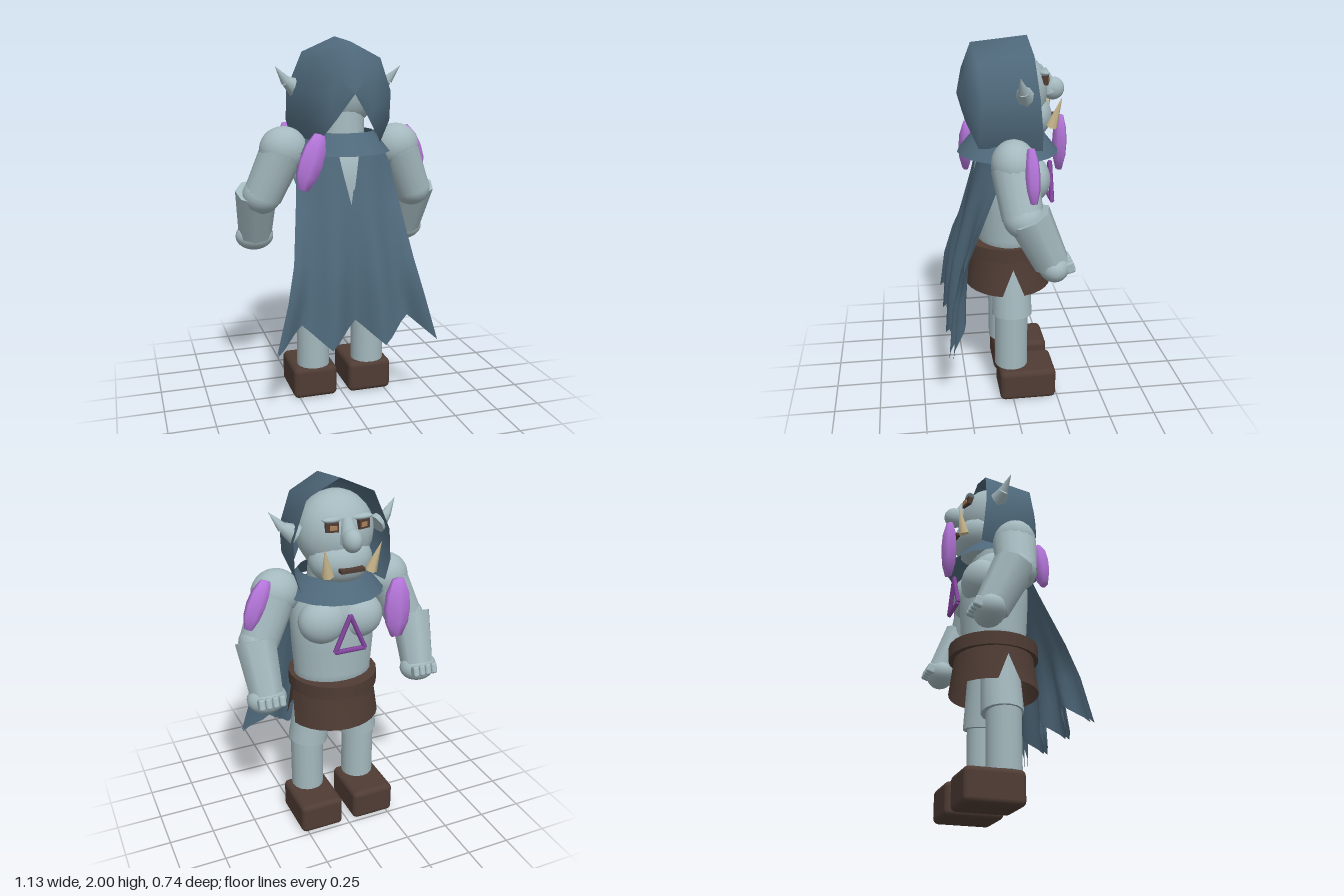
import * as THREE from 'three';
import { RoundedBoxGeometry } from 'three/addons/geometries/RoundedBoxGeometry.js';

const material = (name, color, side = THREE.FrontSide) => {
  const m = new THREE.MeshStandardMaterial({ color, side });
  m.name = name;
  return m;
};

export function createModel() {
  const skin = material('skin', 0xa4b9be);
  const cloth = material('cloth', 0x4f697b, THREE.DoubleSide);
  const leather = material('leather', 0x4f3c34, THREE.DoubleSide);
  const crystal = material('crystal', 0xb878de);
  const rune = material('amulet', 0x8546a0);
  const ivory = material('ivory', 0xd2bf94);
  const amber = material('amber', 0xa9805a);

  const root = new THREE.Group();
  root.name = 'hoodedFigure';
  const V = (p) => new THREE.Vector3(...p);

  const add = (name, geo, mat, p = [0, 0, 0], r = [0, 0, 0], s = [1, 1, 1]) => {
    const m = new THREE.Mesh(geo, mat);
    m.name = name;
    m.position.set(...p);
    m.rotation.set(...r);
    m.scale.set(...s);
    root.add(m);
    return m;
  };
  const ball = (name, p, s, r = [0, 0, 0]) =>
    add(name, new THREE.SphereGeometry(1, 20, 14), skin, p, r, s);
  // Tapered cylinder running from a to b
  const limb = (name, a, b, ra, rb, mat = skin, sides = 16) => {
    const d = V(b).sub(V(a));
    const m = add(name, new THREE.CylinderGeometry(rb, ra, d.length(), sides), mat);
    m.position.copy(V(a).add(V(b)).multiplyScalar(0.5));
    m.quaternion.setFromUnitVectors(new THREE.Vector3(0, 1, 0), d.normalize());
    return m;
  };
  // Smooth sheet through rows of points
  const sheet = (rows) => {
    const n = rows[0].length, index = [];
    for (let i = 0; i < rows.length - 1; i++)
      for (let j = 0; j < n - 1; j++) {
        const a = i * n + j, b = a + n;
        index.push(a, b, a + 1, a + 1, b, b + 1);
      }
    const g = new THREE.BufferGeometry();
    g.setAttribute('position', new THREE.Float32BufferAttribute(rows.flat(2), 3));
    g.setIndex(index);
    g.computeVertexNormals();
    return g;
  };

  // Torso and neck
  const torso = [[0, 0.8], [0.18, 0.82], [0.182, 0.95], [0.192, 1.1], [0.197, 1.25], [0.175, 1.38], [0.11, 1.46], [0, 1.47]]
    .map((p) => new THREE.Vector2(...p));
  add('torso', new THREE.LatheGeometry(torso, 24), skin, [0, 0, 0], [0, 0, 0], [1.2, 1, 0.95]);
  limb('neck', [0, 1.4, 0.01], [0, 1.65, -0.01], 0.13, 0.13);

  // Head and face
  ball('head', [0, 1.72, -0.03], [0.205, 0.21, 0.177]);
  ball('muzzle', [0, 1.59, -0.1], [0.17, 0.13, 0.133]);
  ball('nose', [0, 1.725, -0.24], [0.05, 0.06, 0.06]);
  limb('noseBridge', [0, 1.71, -0.225], [0, 1.82, -0.175], 0.052, 0.03);
  add('mouth', new THREE.BoxGeometry(0.13, 0.018, 0.04), leather, [0, 1.575, -0.242]);

  // Belt and slit skirt
  add('belt', new THREE.CylinderGeometry(0.245, 0.245, 0.075, 24), leather, [0, 0.882, 0]);
  for (const side of [0, Math.PI]) {
    const rows = [[0.86, 0.214, 0], [0.8, 0.22, 0], [0.65, 0.24, 0.25]].map(([y, r, gap]) =>
      Array.from({ length: 13 }, (_, j) => {
        const t = side + gap + (Math.PI - 2 * gap) * j / 12;
        return [1.08 * r * Math.cos(t), y, r * Math.sin(t)];
      }));
    add(side ? 'skirtFront' : 'skirtBack', sheet(rows), leather);
  }

  for (const s of [1, -1]) {
    // Chest and face details
    ball('chestMuscle', [s * 0.1, 1.265, -0.11], [0.137, 0.125, 0.105]);
    ball('brow', [s * 0.078, 1.82, -0.172], [0.058, 0.016, 0.028], [0, s * 0.25, s * 0.08]);
    add('eyeSocket', new THREE.BoxGeometry(0.066, 0.046, 0.035), leather, [s * 0.083, 1.787, -0.183], [0, -s * 0.25, 0]);
    add('eye', new THREE.BoxGeometry(0.036, 0.022, 0.009), amber, [s * 0.082, 1.787, -0.203], [0, -s * 0.25, 0]);
    limb('tusk', [s * 0.118, 1.55, -0.215], [s * 0.152, 1.705, -0.258], 0.031, 0.001, ivory, 6);
    limb('earBase', [s * 0.22, 1.73, -0.058], [s * 0.285, 1.77, -0.04], 0.055, 0.028, skin, 8);
    limb('earTip', [s * 0.285, 1.77, -0.04], [s * 0.345, 1.845, -0.015], 0.028, 0.001, skin, 8);

    // Arm
    ball('shoulder', [s * 0.315, 1.415, 0.01], [0.13, 0.125, 0.115]);
    limb('upperArm', [s * 0.325, 1.4, 0.01], [s * 0.425, 1.17, -0.02], 0.117, 0.105);
    ball('elbow', [s * 0.43, 1.17, -0.025], [0.105, 0.1, 0.105]);
    limb('forearm', [s * 0.455, 1.19, -0.045], [s * 0.445, 0.93, -0.165], 0.113, 0.092, skin, 8);
    ball('hand', [s * 0.447, 0.915, -0.175], [0.107, 0.08, 0.08]);
    for (let i = 0; i < 4; i++)
      add('finger', new RoundedBoxGeometry(0.034, 0.06, 0.05, 2, 0.012), skin,
        [s * (0.39 + i * 0.037), 0.925, -0.247], [0.3, 0, 0]);

    // Leg and shoe
    limb('thigh', [s * 0.155, 0.5, -0.005], [s * 0.11, 0.85, -0.005], 0.111, 0.1);
    limb('shin', [s * 0.16, 0.19, 0], [s * 0.16, 0.55, 0], 0.092, 0.092);
    add('shoe', new RoundedBoxGeometry(0.25, 0.18, 0.315, 3, 0.03), leather, [s * 0.16, 0.095, -0.083]);

    // Half of the cape: height, half width, depth, fold depth, forward wrap, centre slit
    const profile = [
      [1.43, 0.25, 0.155, 0, 0.1, 0.062], [1.28, 0.265, 0.19, 0.003, 0.09, 0.033], [1.12, 0.285, 0.228, 0.012, 0.07, 0],
      [0.85, 0.325, 0.272, 0.043, 0.03, 0], [0.66, 0.37, 0.282, 0.065, 0.01, 0], [0.465, 0.44, 0.286, 0.08, 0, 0],
    ];
    // Folds follow a cosine, the hem a zigzag of the same rhythm; the lining lies just inside
    const cape = (inset) => sheet(profile.map(([y, w, z, fold, wrap, gap], i) =>
      Array.from({ length: 13 }, (_, j) => {
        const u = j / 12, k = Math.cos(3 * Math.PI * u);
        const hem = i === 5 ? 0.065 * (1 - 2 * Math.acos(THREE.MathUtils.clamp(k, -1, 1)) / Math.PI) : 0;
        return [s * (gap + (w - gap) * u), y + hem, z + fold * (1 - k) / 2 - wrap * u * u - inset];
      })));
    add('capeHalf', cape(0), cloth);
    add('capeLining', cape(0.022), cloth);
  }

  // Collar
  add('collar', new THREE.CylinderGeometry(0.18, 0.27, 0.11, 16, 1, true), cloth, [0, 1.455, 0]);

  // Hood: arched sections from the face opening to the back point
  const arch = (half) => [...half, ...half.slice(0, -1).reverse().map(([x, y, z]) => [-x, y, z])];
  const front = arch([[0.235, 1.455, -0.15], [0.265, 1.56, -0.145], [0.262, 1.72, -0.13], [0.18, 1.92, -0.11], [0, 2, -0.1]]);
  const back = arch([[0.17, 1.46, 0.17], [0.22, 1.57, 0.165], [0.23, 1.72, 0.155], [0.165, 1.89, 0.17], [0, 1.97, 0.19]]);
  const tip = [0, 1.715, 0.265];
  const mix = (t, bulge) => back.map((p) => p.map((c, k) => c + (tip[k] - c) * t + (k === 2 ? bulge : 0)));
  add('hood', sheet([front, back, mix(0.5, 0.012), mix(1, 0)]), cloth);

  // Floating crystals
  const gem = [[0, -0.16], [0.032, -0.155], [0.062, -0.08], [0.07, 0], [0.062, 0.08], [0.032, 0.155], [0, 0.16]]
    .map((p) => new THREE.Vector2(...p));
  const gemGeo = new THREE.LatheGeometry(gem, 6);
  add('crystalBack', gemGeo, crystal, [-0.215, 1.37, 0.205], [0, 0, -0.32], [0.97, 0.95, 0.58]);
  add('crystalSide', gemGeo, crystal, [0.44, 1.39, -0.063], [0, 0, 0.38], [0.88, 0.86, 0.56]);
  add('crystalFront', gemGeo, crystal, [-0.215, 1.37, -0.327], [0, 0, 0], [1.05, 1, 0.6]);

  // Triangular chest amulet
  const corners = [[0, 1.325, -0.232], [0.085, 1.13, -0.232], [-0.085, 1.13, -0.232]];
  corners.forEach((c, i) => limb('amuletBar', c, corners[(i + 1) % 3], 0.013, 0.013, rune, 6));

  return root;
}
